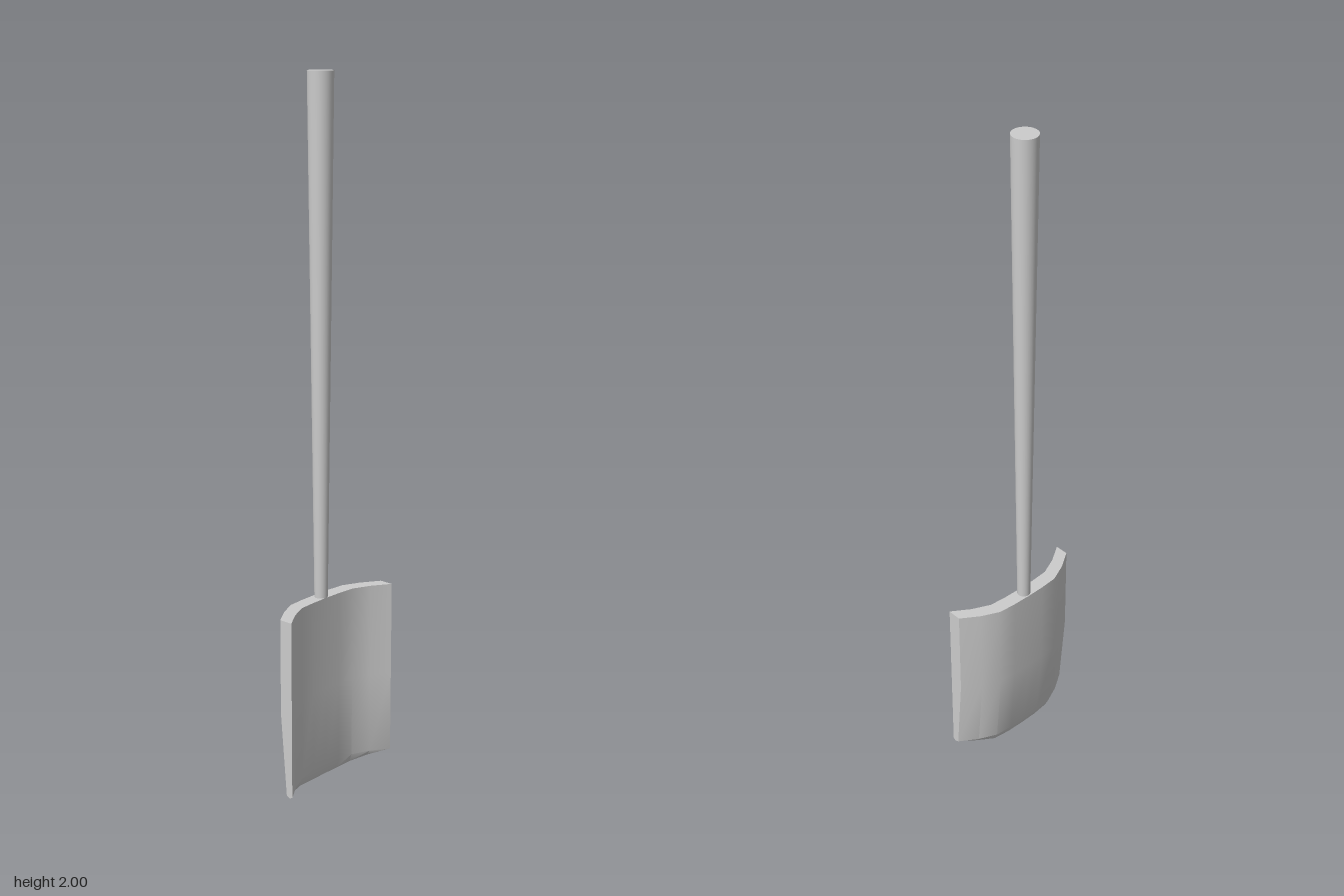
import * as THREE from 'three';
import { toCreasedNormals } from 'three/addons/utils/BufferGeometryUtils.js';

const THICKNESS = 0.041;

// Half of the blade's curve: x, z of the front face, y of the cutting edge
const HALF = [
  [0, -0.006, 0],
  [0.054, -0.005, 0],
  [0.107, -0.001, 0.003],
  [0.16, 0.023, 0.013],
  [0.213, 0.058, 0.023],
];

// Curved blade, lofted across x; its lower back thins to a sharpened edge
function bladeGeometry() {
  const columns = [...HALF.slice(1).reverse().map(([x, z, y]) => [-x, z, y]), ...HALF];
  const rings = columns.map(([x, front, tipY]) => {
    const back = front - THICKNESS;
    return [
      [x, 0.545, front],
      [x, 0.27, front],
      [x, 0.028, front],
      [x, tipY, front - 0.009],
      [x, 0.028, back + 0.02],
      [x, 0.27, back],
      [x, 0.545, back],
    ];
  });

  const n = rings[0].length;
  const index = [];
  for (let i = 0; i < rings.length - 1; i++) {
    for (let j = 0; j < n; j++) {
      const k = (j + 1) % n;
      const a = i * n + j, b = i * n + k, c = (i + 1) * n + k, d = (i + 1) * n + j;
      index.push(a, b, d, b, c, d);
    }
  }
  // Flat side walls
  const last = (rings.length - 1) * n;
  for (let j = 1; j < n - 1; j++) {
    index.push(0, j + 1, j);
    index.push(last, last + j, last + j + 1);
  }

  const geometry = new THREE.BufferGeometry();
  geometry.setAttribute('position', new THREE.Float32BufferAttribute(rings.flat(2), 3));
  geometry.setIndex(index);
  return toCreasedNormals(geometry, 0.5);
}

export function createModel() {
  const group = new THREE.Group();
  const material = new THREE.MeshStandardMaterial({ color: 0xcccccc });

  const blade = new THREE.Mesh(bladeGeometry(), material);
  blade.name = 'blade';
  group.add(blade);

  // Round handle, wider at the top, seated in the blade's upper edge
  const top = 2, bottom = 0.53;
  const handle = new THREE.Mesh(
    new THREE.CylinderGeometry(0.036, 0.019, top - bottom, 32),
    material
  );
  handle.name = 'handle';
  handle.position.set(0, (top + bottom) / 2, -0.025);
  group.add(handle);

  return group;
}
